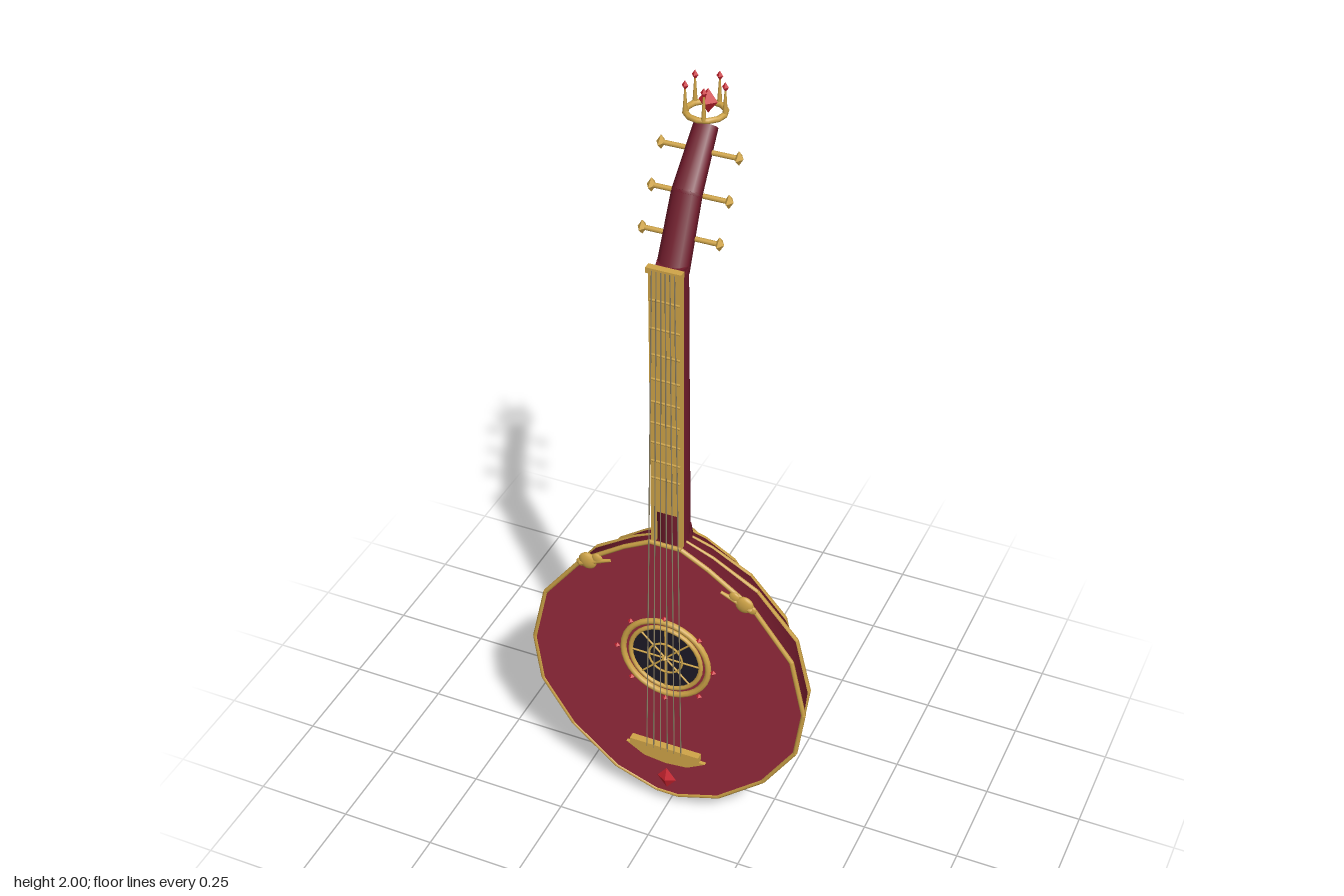
import * as THREE from 'three';

const mat = (color, extra = {}) => new THREE.MeshStandardMaterial({ color, ...extra });
const V = (x, y, z) => new THREE.Vector3(x, y, z);

export function createModel() {
  const root = new THREE.Group();
  const wood = mat(0x6e1a2a), face = mat(0x962a3c), gold = mat(0xd0a548);
  const ruby = mat(0xc8232f, { flatShading: true }), dark = mat(0x1c1a26), wire = mat(0x8f8468);
  const goldFlat = mat(0xd0a548, { flatShading: true });

  const add = (name, geo, material, x = 0, y = 0, z = 0, parent = root) => {
    const m = new THREE.Mesh(geo, material);
    m.name = name;
    m.position.set(x, y, z);
    parent.add(m);
    return m;
  };
  const group = (name) => {
    const g = new THREE.Group();
    g.name = name;
    root.add(g);
    return g;
  };
  // tapered rod from point a to point b
  const rod = (name, a, b, ra, rb, material, parent = root, sides = 8) => {
    const d = b.clone().sub(a);
    const m = add(name, new THREE.CylinderGeometry(rb, ra, d.length(), sides), material, 0, 0, 0, parent);
    m.position.copy(a).add(b).multiplyScalar(0.5);
    m.quaternion.setFromUnitVectors(V(0, 1, 0), d.normalize());
    return m;
  };
  const gem = (name, r, h, x, y, z, material = ruby, parent = root) => {
    const m = add(name, new THREE.OctahedronGeometry(1), material, x, y, z, parent);
    m.scale.set(r, h, r);
    return m;
  };

  // bowl sections: height, half width, depth
  const rows = [[0.045, 0.03, 0.1], [0.085, 0.143, 0.145], [0.19, 0.265, 0.2], [0.32, 0.348, 0.23],
    [0.455, 0.366, 0.24], [0.614, 0.33, 0.22], [0.75, 0.226, 0.168], [0.83, 0.11, 0.122], [0.868, 0.04, 0.09]];
  const staves = 9, front = 0.123;
  const bowlPoint = ([y, w, d], j) => {
    const t = Math.PI * j / staves;
    return V(w * Math.cos(t), y, front - d * Math.sin(t));
  };
  const pos = [], idx = [], n = staves + 1;
  rows.forEach((r) => { for (let j = 0; j < n; j++) pos.push(...bowlPoint(r, j).toArray()); });
  for (let i = 0; i < rows.length - 1; i++) {
    for (let j = 0; j < staves; j++) {
      const a = i * n + j, c = a + n;
      idx.push(a, a + 1, c, a + 1, c + 1, c);
    }
  }
  const last = (rows.length - 1) * n;
  for (let j = 1; j < staves; j++) idx.push(0, j + 1, j, last, last + j, last + j + 1);
  const bowl = new THREE.BufferGeometry();
  bowl.setAttribute('position', new THREE.Float32BufferAttribute(pos, 3));
  bowl.setIndex(idx);
  bowl.computeVertexNormals();
  add('bowl', bowl, mat(0x6e1a2a, { side: THREE.DoubleSide }));

  // gold ribs along the stave seams
  const ribs = group('ribs');
  const ribR = (r) => 0.003 + 0.0045 * r[1] / 0.366;
  for (let j = 1; j < staves; j++) {
    for (let i = 0; i < rows.length - 1; i++) {
      rod('rib', bowlPoint(rows[i], j), bowlPoint(rows[i + 1], j), ribR(rows[i]), ribR(rows[i + 1]), gold, ribs, 6);
    }
  }

  // soundboard with gold edge
  const outline = [...rows.map(([y, w]) => [w, y]), ...rows.map(([y, w]) => [-w, y]).reverse()];
  const board = new THREE.Shape(outline.map(([x, y]) => new THREE.Vector2(x, y)));
  add('soundboard', new THREE.ExtrudeGeometry(board, { depth: 0.008, bevelEnabled: false }), face, 0, 0, 0.122);
  const edge = group('edgeBinding');
  outline.forEach(([x, y], i) => {
    const [x2, y2] = outline[(i + 1) % outline.length];
    rod('binding', V(x, y, 0.127), V(x2, y2, 0.127), 0.006, 0.006, gold, edge, 6);
  });

  // rosette
  const rose = group('rosette');
  rose.position.set(0, 0.515, 0.131);
  add('soundHole', new THREE.CircleGeometry(0.1, 32), dark, 0, 0, 0.001, rose);
  add('outerRing', new THREE.TorusGeometry(0.115, 0.008, 8, 32), gold, 0, 0, 0.002, rose);
  add('innerRing', new THREE.TorusGeometry(0.095, 0.006, 8, 32), gold, 0, 0, 0.002, rose);
  add('latticeRing', new THREE.TorusGeometry(0.045, 0.003, 6, 24), gold, 0, 0, 0.003, rose);
  gem('roseCentre', 0.01, 0.01, 0, 0, 0.004, gold, rose);
  for (let i = 0; i < 8; i++) {
    const a = i * Math.PI / 4, c = Math.cos(a), s = Math.sin(a);
    rod('spoke', V(0, 0, 0.003), V(c * 0.092, s * 0.092, 0.003), 0.0025, 0.0025, gold, rose, 6);
    gem('roseGem', 0.008, 0.008, c * 0.13, s * 0.13, 0.006, ruby, rose);
  }

  // bridge and lower ornaments
  const bridge = group('bridge');
  add('bridgeBar', new THREE.BoxGeometry(0.19, 0.02, 0.02), gold, 0, 0.21, 0.139, bridge);
  const foot = new THREE.Shape([[-0.11, 0.195], [-0.06, 0.165], [0, 0.158], [0.06, 0.165], [0.11, 0.195]]
    .map(([x, y]) => new THREE.Vector2(x, y)));
  add('bridgeFoot', new THREE.ExtrudeGeometry(foot, { depth: 0.01, bevelEnabled: false }), gold, 0, 0, 0.129, bridge);
  gem('tailGem', 0.026, 0.034, 0, 0.1, 0.132).scale.z = 0.013;
  add('endButton', new THREE.SphereGeometry(0.019, 10, 8), gold, 0, 0.02, 0.04);
  rod('endPin', V(0, 0.025, 0.04), V(0, 0.05, 0.04), 0.01, 0.01, gold);

  // shoulder scrolls
  for (const s of [-1, 1]) {
    const scroll = group(s > 0 ? 'leftScroll' : 'rightScroll');
    scroll.position.set(s * 0.2, 0.762, 0.132);
    scroll.rotation.z = -s * 0.5;
    for (const [x, r] of [[-0.022, 0.015], [0.008, 0.024], [0.03, 0.012]]) {
      add('scrollLobe', new THREE.SphereGeometry(r, 10, 8), gold, s * x, 0, 0, scroll).scale.z = 0.4;
    }
    rod('scrollTail', V(-s * 0.055, -0.012, 0), V(s * 0.03, 0, 0), 0.004, 0.009, gold, scroll);
  }

  // neck, heel and fingerboard
  rod('neck', V(0, 0.85, 0.081), V(0, 1.635, 0.081), 0.041, 0.037, wood, root, 12);
  add('heel', new THREE.CylinderGeometry(0.04, 0.046, 0.04, 8), wood, 0, 0.865, 0.068);
  add('fingerboard', new THREE.BoxGeometry(0.066, 0.67, 0.012), gold, 0, 1.295, 0.115);
  for (const s of [-1, 1]) {
    add('neckBinding', new THREE.BoxGeometry(0.01, 0.77, 0.014), gold, s * 0.035, 1.25, 0.116);
  }
  add('nut', new THREE.BoxGeometry(0.086, 0.014, 0.018), gold, 0, 1.635, 0.122);
  const frets = group('frets');
  for (let i = 1; i <= 9; i++) {
    const y = 0.22 + 1.415 * Math.pow(2, -i / 12);
    rod('fret', V(-0.037, y, 0.123), V(0.037, y, 0.123), 0.003, 0.003, gold, frets, 6);
  }

  // strings from bridge to nut
  const strings = group('strings');
  for (let i = 0; i < 6; i++) {
    const k = i - 2.5;
    rod('string', V(k * 0.019, 0.21, 0.148), V(k * 0.011, 1.637, 0.131), 0.0016, 0.0016, wire, strings, 5);
  }

  // pegbox bending backwards
  const bend = [V(0, 1.615, 0.08), V(0, 1.77, 0.002), V(0, 1.885, -0.102)], radii = [0.039, 0.036, 0.029];
  for (let i = 0; i < 2; i++) {
    rod('pegbox', bend[i], bend[i + 1], radii[i], radii[i + 1], wood, root, 10).scale.z = 0.75;
  }
  add('pegboxBend', new THREE.SphereGeometry(0.036, 12, 8), wood, 0, 1.77, 0.002).scale.set(1, 0.72, 0.72);

  // tuning pegs with diamond ends
  const pegs = group('tuningPegs');
  for (const [y, z] of [[1.68, 0.036], [1.76, -0.015], [1.84, -0.068]]) {
    rod('pegShaft', V(-0.09, y, z), V(0.09, y, z), 0.006, 0.006, gold, pegs);
    for (const s of [-1, 1]) gem('pegEnd', 0.011, 0.018, s * 0.093, y, z, goldFlat, pegs).scale.z = 0.018;
  }

  // crown finial
  const crown = group('crown');
  crown.position.set(0, 1.92, -0.1);
  add('crownBand', new THREE.TorusGeometry(0.045, 0.007, 8, 12), gold, 0, 0, 0, crown).rotation.x = Math.PI / 2;
  for (let i = 0; i < 5; i++) {
    const a = i * Math.PI * 0.4, x = 0.046 * Math.cos(a), z = 0.046 * Math.sin(a);
    rod('crownSpike', V(x, 0, z), V(x, 0.06, z), 0.006, 0.002, gold, crown, 6);
    gem('crownGem', 0.008, 0.012, x, 0.068, z, ruby, crown);
  }
  gem('crownJewel', 0.023, 0.03, 0, 0.02, -0.013, ruby, crown);

  return root;
}
